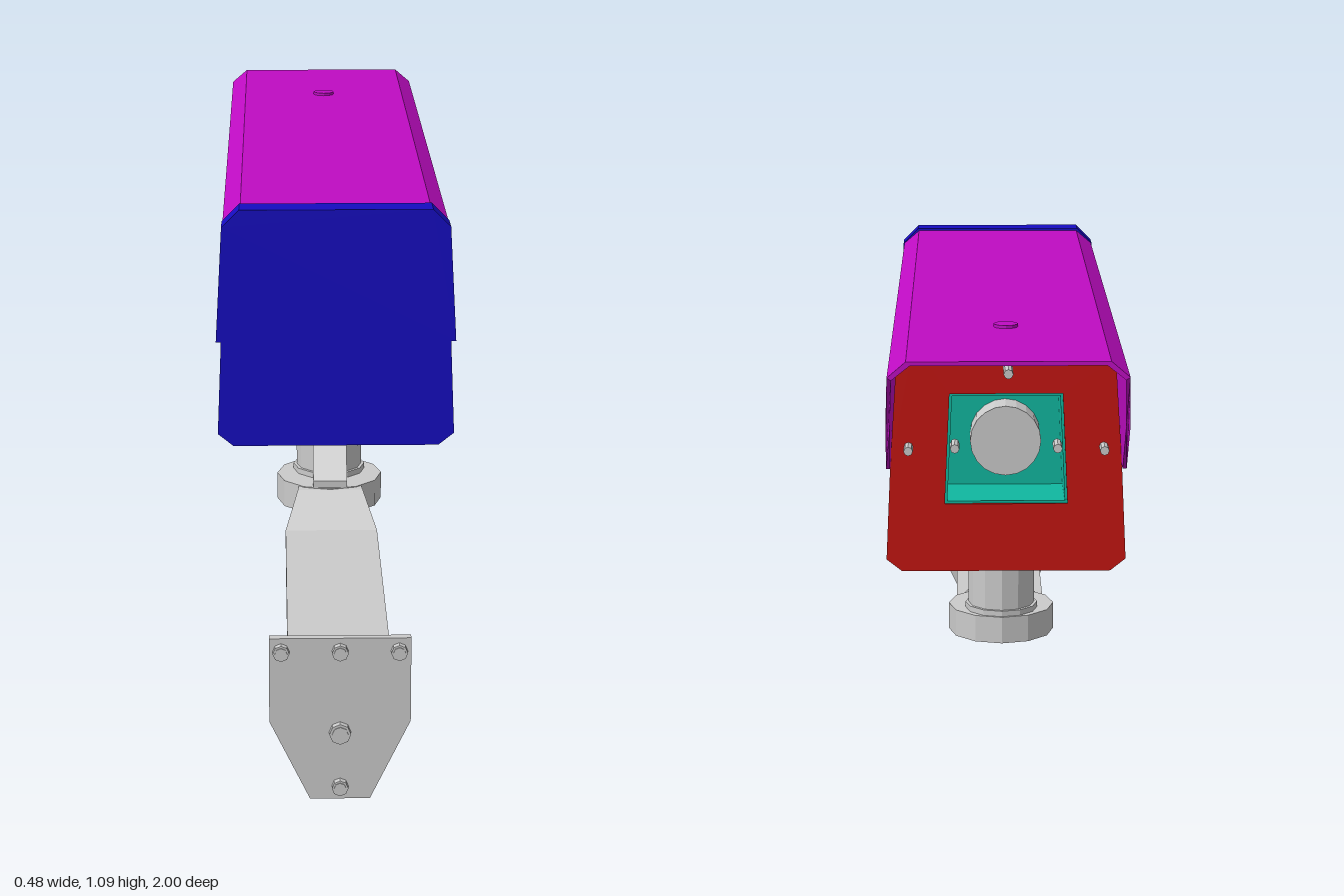
import * as THREE from 'three';

const mat = (color) => new THREE.MeshStandardMaterial({ color, flatShading: true, side: THREE.DoubleSide });
const grey = mat(0xcccccc), purple = mat(0xbf0cc3), blue = mat(0x150cc0);
const gold = mat(0xb8900d), red = mat(0xc41410), teal = mat(0x10b8a0);

const v2 = ([x, y]) => new THREE.Vector2(x, y);
// Mirror a right-hand half outline (listed bottom to top) into a closed outline
const mirrored = (half) => [...half, ...half.map(([x, y]) => [-x, y]).reverse()];

// Extrude an x/y outline between two depths
function slab(points, z0, z1, hole) {
  const shape = new THREE.Shape(points.map(v2));
  if (hole) shape.holes.push(new THREE.Path(hole.map(v2)));
  return new THREE.ExtrudeGeometry(shape, { depth: z1 - z0, bevelEnabled: false }).translate(0, 0, z0);
}

// Extrude a z/y outline across x, centred on x
function sidePlate(points, width, x = 0) {
  return slab(points, -width / 2, width / 2).rotateY(-Math.PI / 2).translate(x, 0, 0);
}

export function createModel() {
  const group = new THREE.Group();
  const add = (name, geo, material = grey) => {
    const mesh = new THREE.Mesh(geo, material);
    mesh.name = name;
    group.add(mesh);
    return mesh;
  };
  const rod = (name, r, length, sides, axis, x, y, z, material = grey) => {
    const geo = new THREE.CylinderGeometry(r, r, length, sides);
    if (axis === 'x') geo.rotateZ(Math.PI / 2);
    if (axis === 'z') geo.rotateX(Math.PI / 2);
    return add(name, geo.translate(x, y, z), material);
  };

  // Housing body: hollow shell around the lens recess
  const bodyOutline = mirrored([[0.2, 0.613], [0.23, 0.635], [0.22, 0.82], [0.208, 1.035], [0.175, 1.065]]);
  add('housing', slab(bodyOutline, -0.57, 0.575), gold);
  const window = mirrored([[0.12, 0.745], [0.11, 0.965]]);
  add('housingNose', slab(bodyOutline, -0.655, -0.57, window), gold);

  // Window frame with chamfered corners
  const frameOutline = mirrored([[0.205, 0.609], [0.235, 0.633], [0.226, 0.82], [0.212, 1.035], [0.178, 1.068]]);
  add('windowFrame', slab(frameOutline, -0.72, -0.663, window), red);
  add('frameGasket', slab(bodyOutline, -0.663, -0.655, window), red);

  // Lens recess
  const liner = mirrored([[0.115, 0.75], [0.105, 0.96]]);
  add('recessLiner', slab(window, -0.715, -0.58, liner), teal);
  add('recessBack', slab(window, -0.58, -0.572), teal);
  rod('lens', 0.07, 0.07, 20, 'z', 0, 0.855, -0.615);
  for (const s of [-1, 1]) {
    rod('framePin', 0.009, 0.05, 8, 'z', s * 0.19, 0.86, -0.735);
    rod('windowPin', 0.009, 0.05, 8, 'z', s * 0.1, 0.86, -0.715);
  }

  // Rear cover in two steps, with a gasket behind the lower one
  add('coverUpper', slab(mirrored([[0.238, 0.823], [0.225, 1.055], [0.19, 1.09]]), 0.578, 0.637), blue);
  add('coverLower', slab(mirrored([[0.205, 0.608], [0.236, 0.633], [0.228, 0.823]]), 0.59, 0.637), blue);
  add('coverGasket', slab(mirrored([[0.195, 0.64], [0.215, 0.65], [0.212, 0.823]]), 0.575, 0.59));

  // Sun shield: thin open-bottomed hood whose front edge is cut back by height
  const hoodOuter = [[0.233, 0.824], [0.228, 0.95], [0.223, 1.055], [0.188, 1.085]];
  const hoodInner = [[0.181, 1.077], [0.215, 1.05], [0.22, 0.95], [0.225, 0.824]];
  const half = [...hoodOuter].reverse().map(([x, y]) => [-x, y]);
  const halfIn = [...hoodInner].reverse().map(([x, y]) => [-x, y]);
  const hood = slab([...hoodOuter, ...half, ...halfIn, ...hoodInner], -1, 0.578);
  const pos = hood.attributes.position;
  for (let i = 0; i < pos.count; i++) {
    if (pos.getZ(i) > 0) continue;
    const y = pos.getY(i);
    const z = y < 0.95 ? -0.755 - (y - 0.824) / 0.126 * 0.182 : -0.937 - (y - 0.95) / 0.1 * 0.063;
    pos.setZ(i, Math.max(z, -1));
  }
  hood.computeVertexNormals();
  add('sunShield', hood, purple);
  rod('shieldScrew', 0.024, 0.008, 12, 'y', 0, 1.087, -0.655, purple);

  // Nut and long rod hanging under the shield
  rod('shieldNut', 0.03, 0.03, 6, 'y', 0, 1.06, -0.735);
  rod('shieldRod', 0.009, 0.25, 8, 'z', 0, 1.058, -0.86);

  // Mounting flange, tapering downward
  const flange = new THREE.BoxGeometry(0.324, 0.04, 0.31);
  const fp = flange.attributes.position;
  for (let i = 0; i < fp.count; i++) if (fp.getY(i) < 0) fp.setX(i, fp.getX(i) * 0.88);
  add('mountFlange', flange.translate(0, 0.593, -0.043));

  // Tilt cheeks with pivot bolts
  for (const s of [-1, 1]) {
    add('tiltCheek', sidePlate([[0.1, 0.575], [0.016, 0.478], [-0.118, 0.478], [-0.19, 0.575]], 0.006, s * 0.08));
    rod('pivotBolt', 0.016, 0.018, 6, 'x', s * 0.088, 0.492, -0.05);
    rod('pivotTip', 0.009, 0.03, 8, 'x', s * 0.08, 0.492, -0.05);
  }

  // Post on its round base
  rod('post', 0.073, 0.19, 12, 'y', 0, 0.425, -0.05);
  rod('postCollar', 0.08, 0.015, 12, 'y', 0, 0.34, -0.05);
  rod('postBase', 0.117, 0.06, 12, 'y', 0, 0.305, -0.018);
  add('postGusset', sidePlate([[0, 0.42], [0.016, 0.425], [0.09, 0.35], [0.09, 0.33], [0, 0.33]], 0.075));

  // Arm: inverted channel lofted through stations of [z, top, bottom, half width]
  const stations = [[0.97, 0.275, 0.14, 0.1], [0.91, 0.275, 0.212, 0.1], [0.205, 0.275, 0.212, 0.1],
    [0.1, 0.333, 0.27, 0.072], [0.03, 0.334, 0.278, 0.065]];
  const verts = [], index = [];
  stations.forEach(([z, top, bottom, w], i) => {
    verts.push(-w, bottom, z, -w, top, z, w, top, z, w, bottom, z);
    if (i === 0) return;
    for (let k = 0; k < 3; k++) {
      const a = (i - 1) * 4 + k, b = i * 4 + k;
      index.push(a, a + 1, b, b, a + 1, b + 1);
    }
  });
  const arm = new THREE.BufferGeometry();
  arm.setAttribute('position', new THREE.Float32BufferAttribute(verts, 3));
  arm.setIndex(index);
  arm.computeVertexNormals();
  add('arm', arm);

  // Wall plate and its bolts
  add('wallPlate', slab(mirrored([[0.058, 0], [0.136, 0.162], [0.136, 0.333]]), 0.968, 0.984));
  for (const [x, y, r] of [[-0.113, 0.307, 0.016], [0, 0.307, 0.016], [0.113, 0.307, 0.016], [0, 0.14, 0.021], [0, 0.027, 0.016]]) {
    rod('wallBolt', r, 0.044, 8, 'z', x, y, 0.976);
    rod('boltTip', r * 0.75, 0.048, 8, 'z', x, y, 0.976);
  }
  return group;
}
